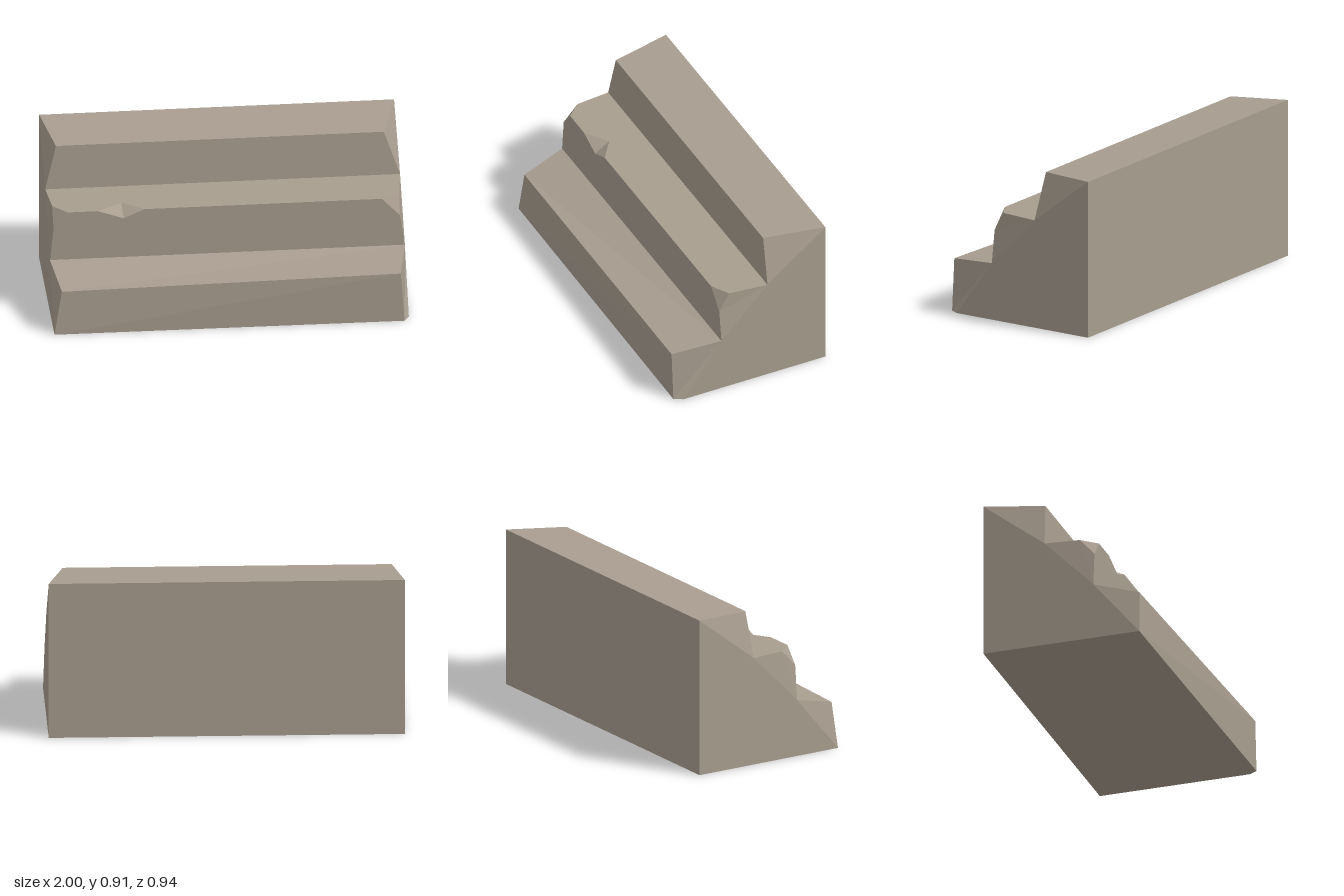
import * as THREE from 'three';

// Flat polygons, corners counter-clockwise from outside, fanned from the first corner
function facets(name, polygons, material) {
  const pos = [];
  for (const p of polygons) {
    for (let i = 1; i < p.length - 1; i++) pos.push(...p[0], ...p[i], ...p[i + 1]);
  }
  const geo = new THREE.BufferGeometry();
  geo.setAttribute('position', new THREE.Float32BufferAttribute(pos, 3));
  geo.computeVertexNormals();
  const mesh = new THREE.Mesh(geo, material);
  mesh.name = name;
  return mesh;
}

// Corners of one end of the stairs; s is -1 or 1, the rest are its worn corners
function endCorners(s, worn) {
  return {
    backLow: [s, 0, -0.47], backTop: [s, 0.91, -0.47],
    upperIn: [s, 0.627, -0.107], lowerIn: [s, 0.33, 0.182], ...worn,
  };
}

export function createModel() {
  const stone = new THREE.MeshStandardMaterial({ color: 0xa89d8f, flatShading: true });
  stone.name = 'stone';

  const L = endCorners(-1, {
    upperNose: [-0.938, 0.89, -0.124],
    chipTop: [-0.9, 0.627, 0.182], chipFront: [-0.98, 0.53, 0.182], chipSide: [-0.98, 0.627, 0.095],
    lowerNose: [-0.957, 0.262, 0.44], foot: [-1, 0, 0.455], footSide: [-1, 0, 0.455],
  });
  const R = endCorners(1, {
    upperNose: [0.91, 0.89, -0.124],
    chipTop: [0.87, 0.627, 0.182], chipFront: [0.972, 0.518, 0.182], chipSide: [0.974, 0.627, 0.122],
    lowerNose: [0.95, 0.3, 0.47], foot: [0.972, 0, 0.47], footSide: [1, 0, 0.42],
  });
  // Notch in the middle step's edge
  const nL = [-0.73, 0.627, 0.182], nR = [-0.465, 0.627, 0.182];
  const nTop = [-0.59, 0.627, 0.092], nFront = [-0.585, 0.575, 0.182];

  const group = new THREE.Group();
  group.name = 'stoneSteps';
  group.add(
    facets('upperStep', [
      [L.upperNose, R.upperNose, R.backTop, L.backTop],
      [L.upperIn, R.upperIn, R.upperNose, L.upperNose],
    ], stone),
    facets('middleStep', [
      [nTop, nR, R.chipTop, R.chipSide, R.upperIn, L.upperIn, L.chipSide, L.chipTop, nL],
      [nFront, nL, L.chipTop, L.chipFront, L.lowerIn, R.lowerIn, R.chipFront, R.chipTop, nR],
    ], stone),
    facets('edgeNotch', [[nL, nFront, nTop], [nR, nTop, nFront]], stone),
    facets('lowerStep', [
      [L.lowerNose, R.lowerNose, R.lowerIn, L.lowerIn],
      [L.foot, R.foot, R.lowerNose, L.lowerNose],
    ], stone),
    facets('backAndBase', [
      [R.backLow, L.backLow, L.backTop, R.backTop],
      [L.backLow, R.backLow, R.footSide, R.foot, L.foot],
    ], stone),
  );

  // Ends: flat wall, worn step sides and the chipped middle corner
  for (const [name, e, flip] of [['rightEnd', L, false], ['leftEnd', R, true]]) {
    const polys = [
      [e.backLow, e.footSide, e.lowerIn, e.upperIn, e.backTop],
      [e.upperIn, e.upperNose, e.backTop],
      [e.lowerIn, e.chipFront, e.chipSide, e.upperIn],
      [e.chipFront, e.chipTop, e.chipSide],
      [e.footSide, e.foot, e.lowerNose, e.lowerIn],
    ];
    group.add(facets(name, flip ? polys.map((p) => [...p].reverse()) : polys, stone));
  }
  return group;
}
